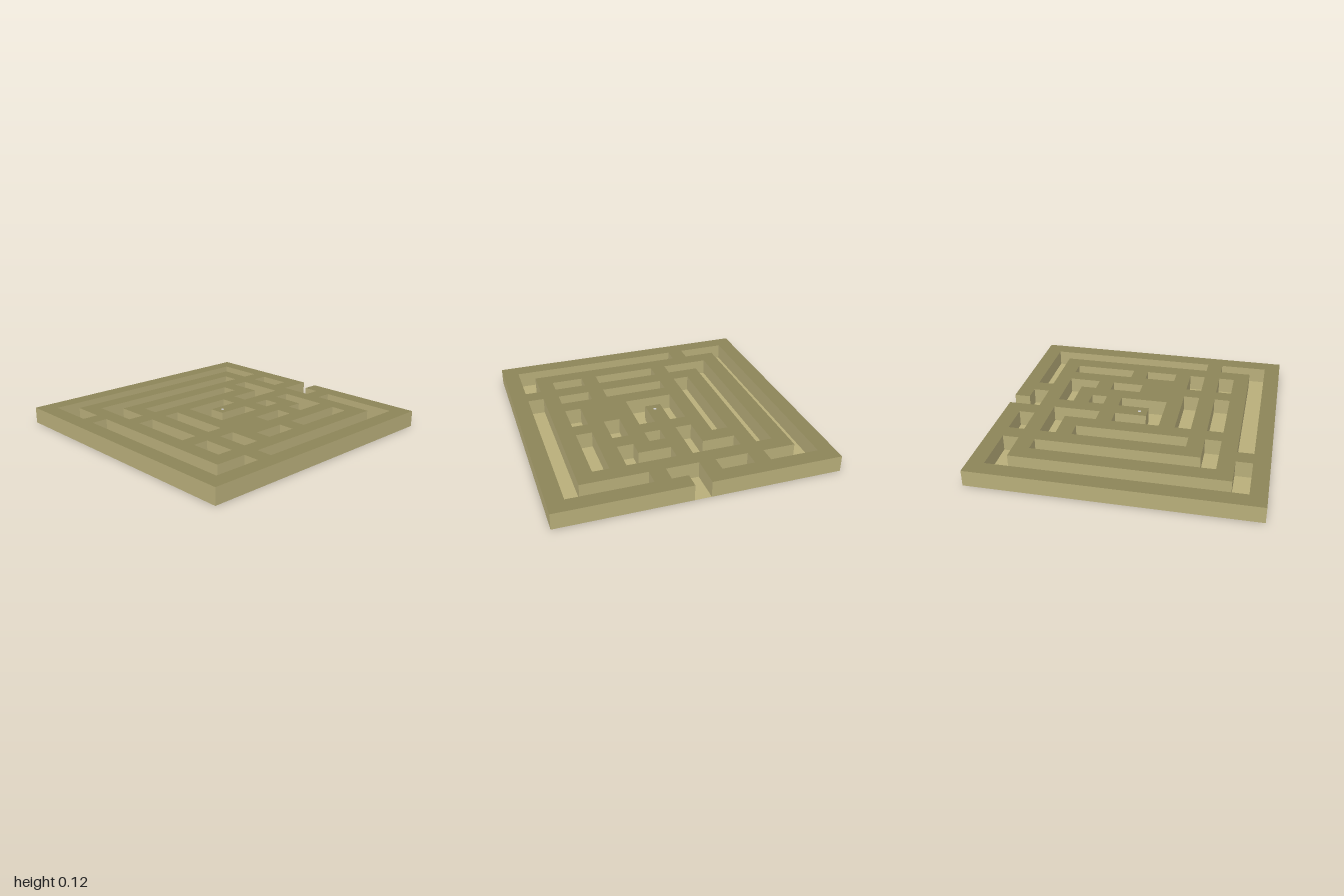
import * as THREE from 'three';

const N = 17;            // maze is a 17 x 17 grid of square cells
const CELL = 2 / N;
const HEIGHT = CELL;

const rect = (x0, z0, x1, z1) => [x0, z0, x1, z0, x1, z1, x0, z1];

// Outer outline, with the entrance cut in on the left side (x, z in cells)
const OUTLINE = [0, 0, 17, 0, 17, 8, 15, 8, 15, 10, 16, 10, 16, 9, 17, 9, 17, 17, 0, 17];
const ENTRANCE = [15, 8, 17, 8, 17, 9, 16, 9, 16, 10, 15, 10];

// Sunken passages, clockwise as seen from above
const PASSAGES = [
  [1, 1, 16, 1, 16, 4, 15, 4, 15, 2, 2, 2, 2, 4, 1, 4],
  [1, 5, 2, 5, 2, 15, 4, 15, 4, 16, 1, 16],
  [3, 3, 14, 3, 14, 4, 4, 4, 4, 6, 3, 6],
  [13, 5, 14, 5, 14, 8, 11, 8, 11, 7, 13, 7],
  [7, 7, 10, 7, 10, 8, 8, 8, 8, 9, 10, 9, 10, 10, 7, 10],
  [13, 9, 14, 9, 14, 12, 12, 12, 12, 11, 13, 11],
  [15, 11, 16, 11, 16, 16, 5, 16, 5, 15, 15, 15],
  rect(5, 5, 12, 6),
  rect(15, 5, 16, 7),
  rect(3, 7, 4, 11),
  rect(5, 7, 6, 11),
  rect(11, 9, 12, 10),
  rect(9, 11, 11, 12),
  rect(3, 12, 4, 14),
  rect(5, 12, 6, 14),
  rect(7, 13, 9, 14),
  rect(10, 13, 14, 14),
];

// Cell pairs -> points (x, -z), so that rotating the shape flat restores z
function toPoints(cells) {
  const points = [];
  for (let i = 0; i < cells.length; i += 2) {
    points.push(new THREE.Vector2((cells[i] - N / 2) * CELL, (N / 2 - cells[i + 1]) * CELL));
  }
  return points;
}

function flatShape(cells, holes = []) {
  const shape = new THREE.Shape(toPoints(cells));
  shape.holes = holes.map((h) => new THREE.Path(toPoints(h)));
  return new THREE.ShapeGeometry(shape).rotateX(-Math.PI / 2);
}

// Upright band along a closed loop; a clockwise loop faces inward
function wallBand(cells, outward = false) {
  const loop = toPoints(cells);
  if (outward) loop.reverse();
  const positions = [];
  loop.forEach((a, i) => {
    const b = loop[(i + 1) % loop.length];
    const corners = [[a, 0], [b, 0], [b, HEIGHT], [a, 0], [b, HEIGHT], [a, HEIGHT]];
    for (const [p, y] of corners) positions.push(p.x, y, -p.y);
  });
  const geometry = new THREE.BufferGeometry();
  geometry.setAttribute('position', new THREE.Float32BufferAttribute(positions, 3));
  geometry.computeVertexNormals();
  return geometry;
}

export function createModel() {
  const model = new THREE.Group();
  model.name = 'maze';
  const stone = new THREE.MeshStandardMaterial({ color: 0xb8ae7a, side: THREE.DoubleSide });
  const darkStone = new THREE.MeshStandardMaterial({ color: 0x8c8458, side: THREE.DoubleSide });
  const grey = new THREE.MeshStandardMaterial({ color: 0xcccccc });

  const add = (name, geometry, material) => {
    const mesh = new THREE.Mesh(geometry, material);
    mesh.name = name;
    model.add(mesh);
    return mesh;
  };

  // Top surface of the walls, pierced by the passages; the underside is open
  add('wallTop', flatShape(OUTLINE, PASSAGES), darkStone).position.y = HEIGHT;

  // Outer sides, running into the entrance
  add('outerWall', wallBand(OUTLINE, true), stone);
  add('entranceFloor', flatShape(ENTRANCE), stone);

  // Each passage has its own sides and floor
  PASSAGES.forEach((cells, i) => {
    add(`passageWall${i + 1}`, wallBand(cells), stone);
    add(`passageFloor${i + 1}`, flatShape(cells), stone);
  });

  // Tiny marker at the centre
  const marker = add('centreMarker', new THREE.CylinderGeometry(0.012, 0.012, 0.004, 8), grey);
  marker.position.y = HEIGHT;

  return model;
}
